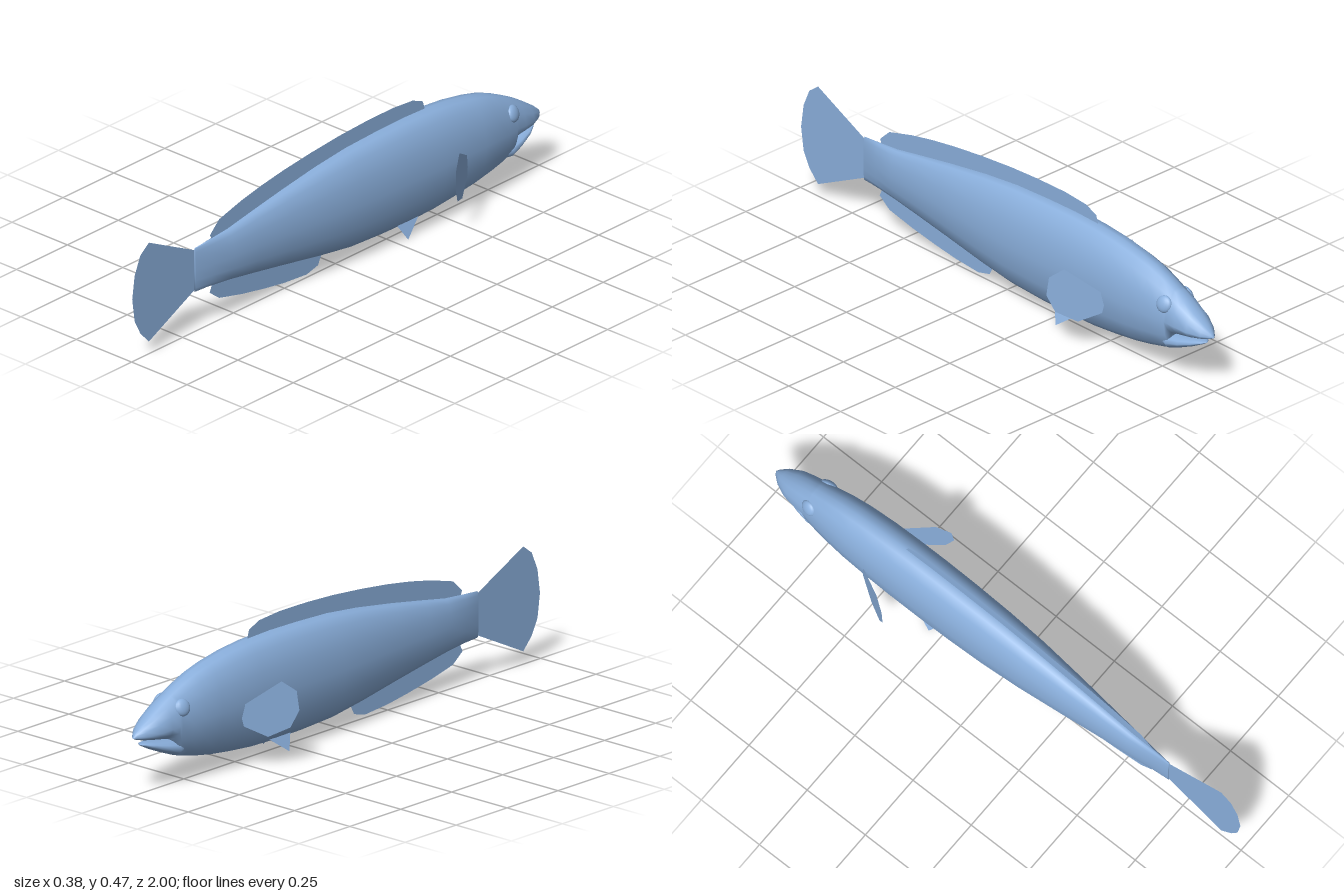
import * as THREE from 'three';

const SIDES = 16;
// quarter of the cross-section: [width share, height share] from ridge to flank
const QUARTER = [[0, 1], [0.3, 0.965], [0.61, 0.815], [0.885, 0.48], [1, 0]];

function sectionPoint(j) {
  const q = Math.floor(j / 4) % 4, k = j % 4;
  const [x, y] = QUARTER[q % 2 ? 4 - k : k];
  return [q < 2 ? x : -x, q === 0 || q === 3 ? y : -y];
}

// skin through stations [z, top, bottom, halfWidth, middle height]
function loft(stations) {
  const pos = [], index = [];
  stations.forEach(([z, top, bottom, w, mid = (top + bottom) / 2]) => {
    for (let j = 0; j < SIDES; j++) {
      const [sx, sy] = sectionPoint(j);
      pos.push(sx * w, mid + sy * (sy > 0 ? top - mid : mid - bottom), z);
    }
  });
  for (let i = 0; i < stations.length - 1; i++) {
    for (let j = 0; j < SIDES; j++) {
      const k = (j + 1) % SIDES;
      const a = i * SIDES + j, b = a + SIDES, c = i * SIDES + k, d = c + SIDES;
      index.push(a, b, c, c, b, d);
    }
  }
  const g = new THREE.BufferGeometry();
  g.setAttribute('position', new THREE.Float32BufferAttribute(pos, 3));
  g.setIndex(index);
  g.computeVertexNormals();
  return g;
}

// thin fin from a [z, y] outline; xAt gives the sideways position
function finGeometry(outline, xAt = () => 0) {
  const g = new THREE.ShapeGeometry(new THREE.Shape(outline.map(([z, y]) => new THREE.Vector2(z, y))));
  const p = g.attributes.position;
  for (let i = 0; i < p.count; i++) {
    const z = p.getX(i), y = p.getY(i);
    p.setXYZ(i, xAt(z, y), y, z);
  }
  g.computeVertexNormals();
  return g;
}

export function createModel() {
  const fish = new THREE.Group();
  const skin = new THREE.MeshStandardMaterial({ color: 0x8aafdc });
  skin.name = 'blue skin';
  skin.side = THREE.DoubleSide;

  const add = (name, geometry) => {
    const mesh = new THREE.Mesh(geometry, skin);
    mesh.name = name;
    fish.add(mesh);
    return mesh;
  };

  // body from snout to tail root, with the upper jaw overhanging the mouth
  add('body', loft([
    [-1.0, 0.205, 0.205, 0],
    [-0.99, 0.22, 0.2, 0.013, 0.207],
    [-0.965, 0.241, 0.193, 0.034, 0.21],
    [-0.92, 0.272, 0.185, 0.055, 0.215],
    [-0.87, 0.304, 0.176, 0.063, 0.22],
    [-0.835, 0.323, 0.168, 0.066, 0.223],
    [-0.825, 0.328, 0.11, 0.067, 0.225],
    [-0.78, 0.35, 0.094, 0.073],
    [-0.72, 0.374, 0.08, 0.081],
    [-0.65, 0.392, 0.067, 0.087],
    [-0.55, 0.41, 0.055, 0.091],
    [-0.45, 0.42, 0.046, 0.092],
    [-0.33, 0.424, 0.043, 0.092],
    [-0.2, 0.422, 0.045, 0.09],
    [-0.05, 0.416, 0.052, 0.085],
    [0.1, 0.4, 0.073, 0.076],
    [0.27, 0.374, 0.101, 0.06],
    [0.42, 0.348, 0.124, 0.044],
    [0.53, 0.328, 0.14, 0.033],
    [0.62, 0.32, 0.148, 0.018],
    [0.69, 0.315, 0.152, 0.006],
    [0.69, 0.23, 0.23, 0],
  ]));

  // slimmer lower jaw under the mouth gap
  add('lowerJaw', loft([
    [-0.967, 0.176, 0.176, 0],
    [-0.955, 0.18, 0.168, 0.018],
    [-0.92, 0.178, 0.15, 0.037],
    [-0.87, 0.17, 0.128, 0.049],
    [-0.82, 0.165, 0.108, 0.055],
    [-0.79, 0.16, 0.11, 0.045],
  ]));

  // upright fins on the centre line
  add('dorsalFin', finGeometry([
    [0.6, 0.3], [0.615, 0.335], [0.6, 0.35], [0.57, 0.378], [0.46, 0.408], [0.36, 0.428],
    [0.25, 0.445], [0.12, 0.46], [-0.02, 0.472], [-0.15, 0.478], [-0.28, 0.479],
    [-0.38, 0.471], [-0.43, 0.45], [-0.442, 0.41], [-0.05, 0.4], [0.27, 0.355],
  ]));
  add('analFin', finGeometry([
    [0.6, 0.16], [0.617, 0.122], [0.57, 0.086], [0.46, 0.06], [0.35, 0.04], [0.25, 0.025],
    [0.14, 0.016], [0.085, 0.03], [0.06, 0.08], [0.27, 0.12],
  ]));
  add('tailFin', finGeometry([
    [0.67, 0.297], [0.915, 0.417], [0.957, 0.385], [0.985, 0.32], [0.997, 0.235],
    [0.985, 0.15], [0.957, 0.095], [0.915, 0.05], [0.67, 0.17],
  ]));

  // paired parts
  for (const [side, s] of [['left', 1], ['right', -1]]) {
    add(side + 'PectoralFin', finGeometry([
      [-0.44, 0.306], [-0.395, 0.268], [-0.387, 0.2], [-0.413, 0.142], [-0.48, 0.116],
      [-0.552, 0.16], [-0.56, 0.2], [-0.552, 0.235],
    ], (z) => s * (0.09 + (z + 0.55) * 0.6)));

    add(side + 'PelvicFin', finGeometry(
      [[-0.26, 0.07], [-0.295, 0.005], [-0.385, 0.07]],
      (z, y) => s * (0.058 - (y - 0.005) * 0.42)));

    const eye = add(side + 'Eye', new THREE.SphereGeometry(0.03, 16, 12));
    eye.scale.x = 0.5;
    eye.rotation.set(0, s * 0.2, s * 0.35);
    eye.position.set(s * 0.053, 0.282, -0.815);
  }
  return fish;
}
